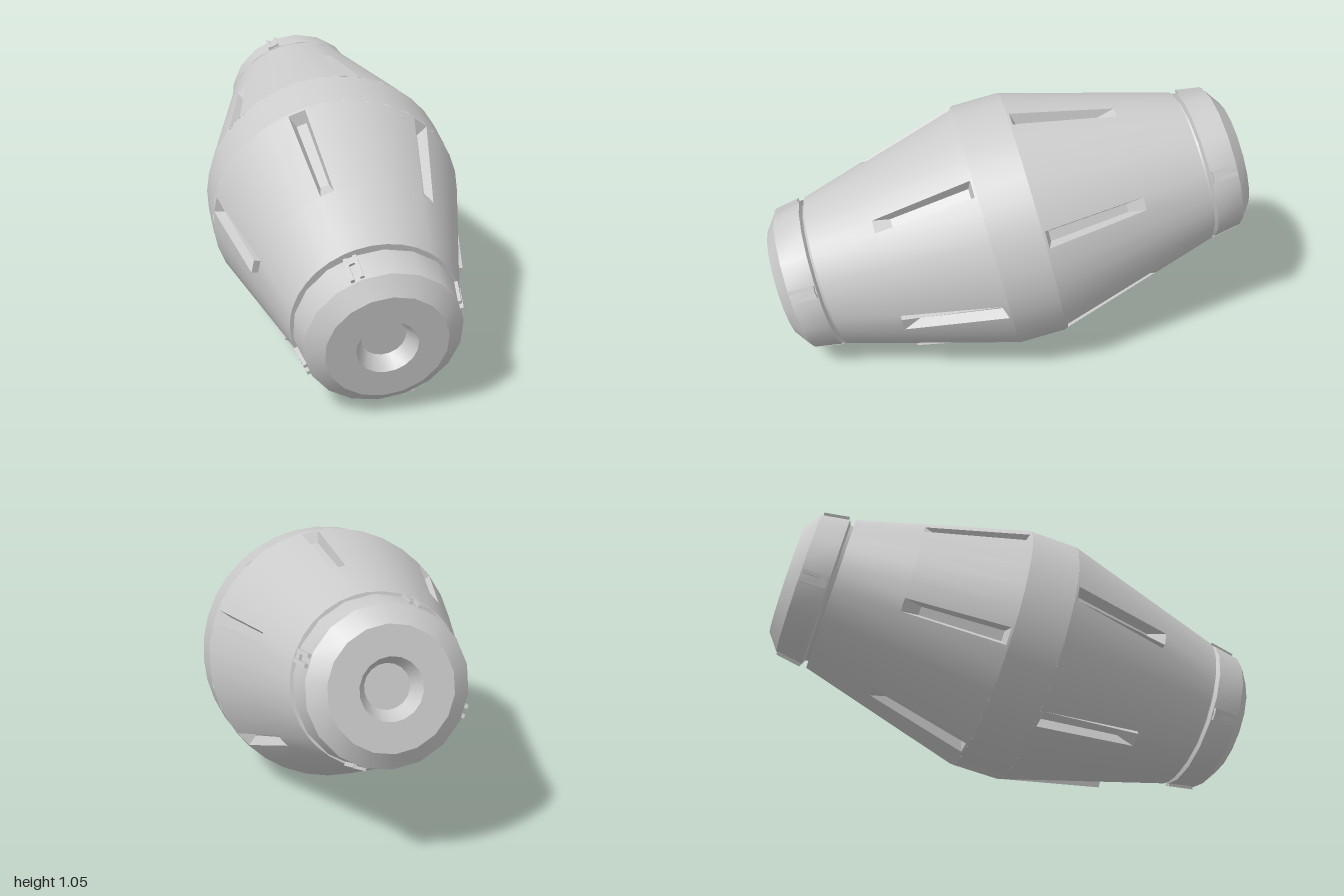
import * as THREE from 'three';
import { toCreasedNormals } from 'three/addons/utils/BufferGeometryUtils.js';

const DEG = Math.PI / 180;
const grey = new THREE.MeshStandardMaterial({ color: 0xcccccc });
const greyDouble = new THREE.MeshStandardMaterial({ color: 0xcccccc, side: THREE.DoubleSide });

// Radius of the tapering shell at distance t along the axis
const shellRadius = (t) => 0.515 - 0.195 * (t - 0.1) / 0.69;
const polar = (a, r, t) => [r * Math.cos(a), r * Math.sin(a), t];

function mesh(name, geometry, material = grey) {
  const m = new THREE.Mesh(geometry, material);
  m.name = name;
  return m;
}

// Quads with corners in outward order; side -1 flips them to the back half
function quadGeometry(quads, side) {
  const pos = [];
  for (const q of quads) {
    const c = q.map(([x, y, z]) => [x, y, z * side]);
    if (side < 0) c.reverse();
    for (const i of [0, 1, 2, 0, 2, 3]) pos.push(...c[i]);
  }
  const g = new THREE.BufferGeometry();
  g.setAttribute('position', new THREE.Float32BufferAttribute(pos, 3));
  return toCreasedNormals(g, 0.4);
}

const SLOT = { start: 0.11, end: 0.52, half: 3.9 * DEG };

// Tapered half shell with six slot openings
function shell(baseAngle, side) {
  const cols = [];
  for (let k = 0; k < 6; k++) {
    for (const d of [-3.9, 3.9, 14.4, 24.9, 35.1, 45.6]) cols.push((baseAngle + k * 60 + d) * DEG);
  }
  const rows = [0.1, SLOT.start, SLOT.end, 0.79].map((t) => [t, shellRadius(t)]);
  rows.push([0.79, 0.285]);
  const quads = [];
  cols.forEach((a, i) => {
    const b = cols[(i + 1) % cols.length];
    for (let j = 0; j < rows.length - 1; j++) {
      if (i % 6 === 0 && j === 1) continue;
      const [t0, r0] = rows[j], [t1, r1] = rows[j + 1];
      quads.push([polar(a, r0, t0), polar(b, r0, t0), polar(b, r1, t1), polar(a, r1, t1)]);
    }
  });
  return quadGeometry(quads, side);
}

// Sunken trough with sloped walls; the rim may rise above the shell at its outer end
function trough(angle, side, lift) {
  const loop = (half, t0, t1, d0, d1) => [[-half, t0, d0], [half, t0, d0], [half, t1, d1], [-half, t1, d1]]
    .map(([h, t, d]) => polar(angle + h, shellRadius(t) + d, t));
  const rim = loop(SLOT.half, SLOT.start, SLOT.end, 0, lift);
  const base = loop(SLOT.half, SLOT.start, SLOT.end, 0, 0);
  const floor = loop(2.6 * DEG, 0.125, 0.45, -0.045, -0.035 + lift * 0.5);
  const quads = [floor];
  for (let i = 0; i < 4; i++) {
    const j = (i + 1) % 4;
    quads.push([rim[i], rim[j], floor[j], floor[i]]);
    if (lift > 0 && i > 0) quads.push([base[i], base[j], rim[j], rim[i]]);
  }
  return quadGeometry(quads, side);
}

// End cap: neck, tapering side, bevel, flat face and conical recess
function endCap(side) {
  const profile = [
    [0.285, 0.77], [0.295, 0.803], [0.314, 0.812], [0.295, 0.925],
    [0.228, 0.975], [0.115, 0.975], [0.083, 0.915], [0, 0.915],
  ].map(([r, t]) => new THREE.Vector2(r, t));
  const g = new THREE.LatheGeometry(profile, 18);
  g.rotateX(side * Math.PI / 2);
  return toCreasedNormals(g, 0.4);
}

// Small double-rail latch on the side of a cap
function latch(angle, side) {
  const group = new THREE.Group();
  group.name = 'capLatch';
  const rail = new THREE.BoxGeometry(0.035, 0.014, 0.105);
  for (const s of [-1, 1]) {
    const m = mesh('latchRail', rail);
    m.position.set(0, s * 0.018, 0);
    group.add(m);
  }
  const bridge = mesh('latchBridge', new THREE.BoxGeometry(0.03, 0.03, 0.03));
  bridge.position.set(0, 0, -side * 0.035);
  group.add(bridge);
  const tilt = new THREE.Group();
  tilt.name = 'capLatchMount';
  group.rotation.y = -side * 0.17;
  group.position.set(0.297, 0, side * 0.866);
  tilt.rotation.z = angle;
  tilt.add(group);
  return tilt;
}

export function createModel() {
  const model = new THREE.Group();
  model.name = 'model';
  const barrel = new THREE.Group();
  barrel.name = 'barrel';
  model.add(barrel);

  // Widest band around the middle
  const band = new THREE.CylinderGeometry(0.515, 0.515, 0.2, 36, 1, true);
  band.rotateX(Math.PI / 2);
  barrel.add(mesh('middleBand', band));

  for (const side of [1, -1]) {
    const label = side > 0 ? 'front' : 'back';
    const base = side > 0 ? 52 : 22;
    barrel.add(mesh(label + 'Shell', shell(base, side)));
    for (let k = 0; k < 6; k++) {
      const a = (base + 60 * k) * DEG;
      const lift = side > 0 && Math.sin(a) < 0.5 ? 0.025 : 0;
      barrel.add(mesh(label + 'Slot', trough(a, side, lift), greyDouble));
    }
    barrel.add(mesh(label + 'Cap', endCap(side)));
    for (let k = 0; k < 4; k++) barrel.add(latch((23 + 90 * k) * DEG, side));
  }

  // Lean the long axis down and to the side at the front
  const axis = new THREE.Vector3(-0.108, -0.22, 0.97).normalize();
  barrel.quaternion.setFromUnitVectors(new THREE.Vector3(0, 0, 1), axis);
  barrel.position.y = 0.518;
  return model;
}
